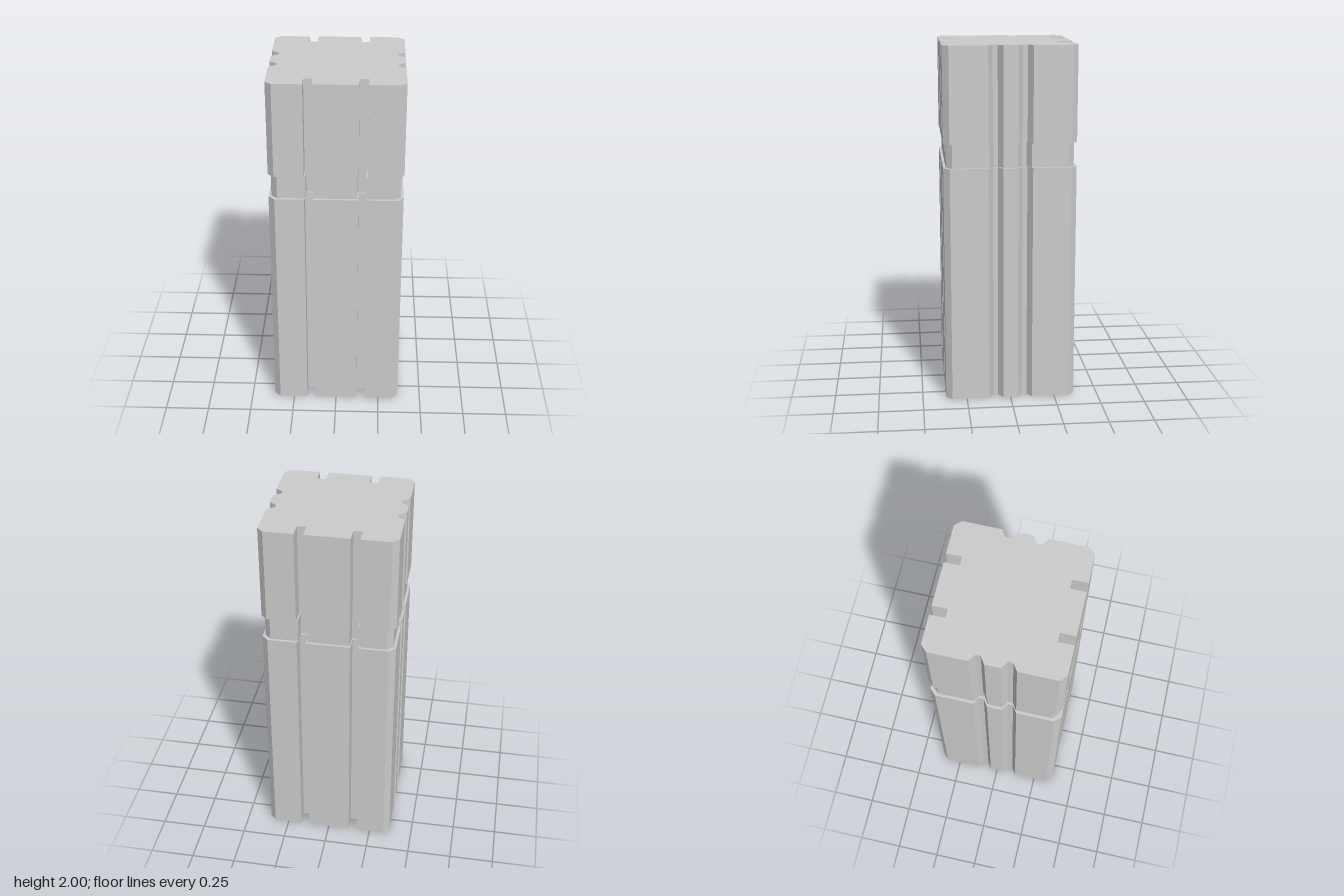
import * as THREE from 'three';

// One quarter of the grooved cross-section (x, z), from the +x side to the +z side
const QUARTER = [
  [0.367, 0.041], [0.327, 0.068], [0.327, 0.095], [0.367, 0.122], // V-groove with flat floor
  [0.367, 0.333], [0.333, 0.367],                                 // chamfered corner
  [0.171, 0.367], [0.171, 0.283], [0.122, 0.283], [0.122, 0.367], // square slot
];

// Mirror the quarter into the full outline
function makeOutline() {
  const flipX = QUARTER.map(([x, z]) => [-x, z]).reverse();
  const half = [...QUARTER, ...flipX];
  return [...half, ...half.map(([x, z]) => [x, -z]).reverse()];
}

// Skin the outline through levels [y, scale]; cap: 'top', 'bottom' or none
function loft(outline, levels, cap) {
  const pos = [];
  const n = outline.length;
  const point = (i, [y, s]) => [outline[i % n][0] * s, y, outline[i % n][1] * s];
  for (let l = 0; l < levels.length - 1; l++) {
    for (let i = 0; i < n; i++) {
      const a = point(i, levels[l]), b = point(i + 1, levels[l]);
      const c = point(i + 1, levels[l + 1]), d = point(i, levels[l + 1]);
      pos.push(...a, ...d, ...c, ...a, ...c, ...b);
    }
  }
  if (cap) {
    const level = cap === 'top' ? levels[levels.length - 1] : levels[0];
    const flat = outline.map(([x, z]) => new THREE.Vector2(x, z));
    for (const tri of THREE.ShapeUtils.triangulateShape(flat, [])) {
      const order = cap === 'top' ? [...tri].reverse() : tri;
      for (const i of order) pos.push(...point(i, level));
    }
  }
  const geometry = new THREE.BufferGeometry();
  geometry.setAttribute('position', new THREE.Float32BufferAttribute(pos, 3));
  geometry.computeVertexNormals();
  return geometry;
}

export function createModel() {
  const group = new THREE.Group();
  group.name = 'groovedPillar';
  const material = new THREE.MeshStandardMaterial({ color: 0xcccccc, flatShading: true });
  const outline = makeOutline();
  const neckScale = 0.959, neckBottom = 1.336, neckTop = 1.47;

  const add = (name, levels, cap) => {
    const mesh = new THREE.Mesh(loft(outline, levels, cap), material);
    mesh.name = name;
    group.add(mesh);
  };

  // Shafts include the flat ledge stepping in to the neck
  add('lowerShaft', [[0, 1], [neckBottom, 1], [neckBottom, neckScale]], 'bottom');
  add('neck', [[neckBottom, neckScale], [neckTop, neckScale]]);
  add('upperShaft', [[neckTop, neckScale], [neckTop, 1], [2, 1]], 'top');
  return group;
}
